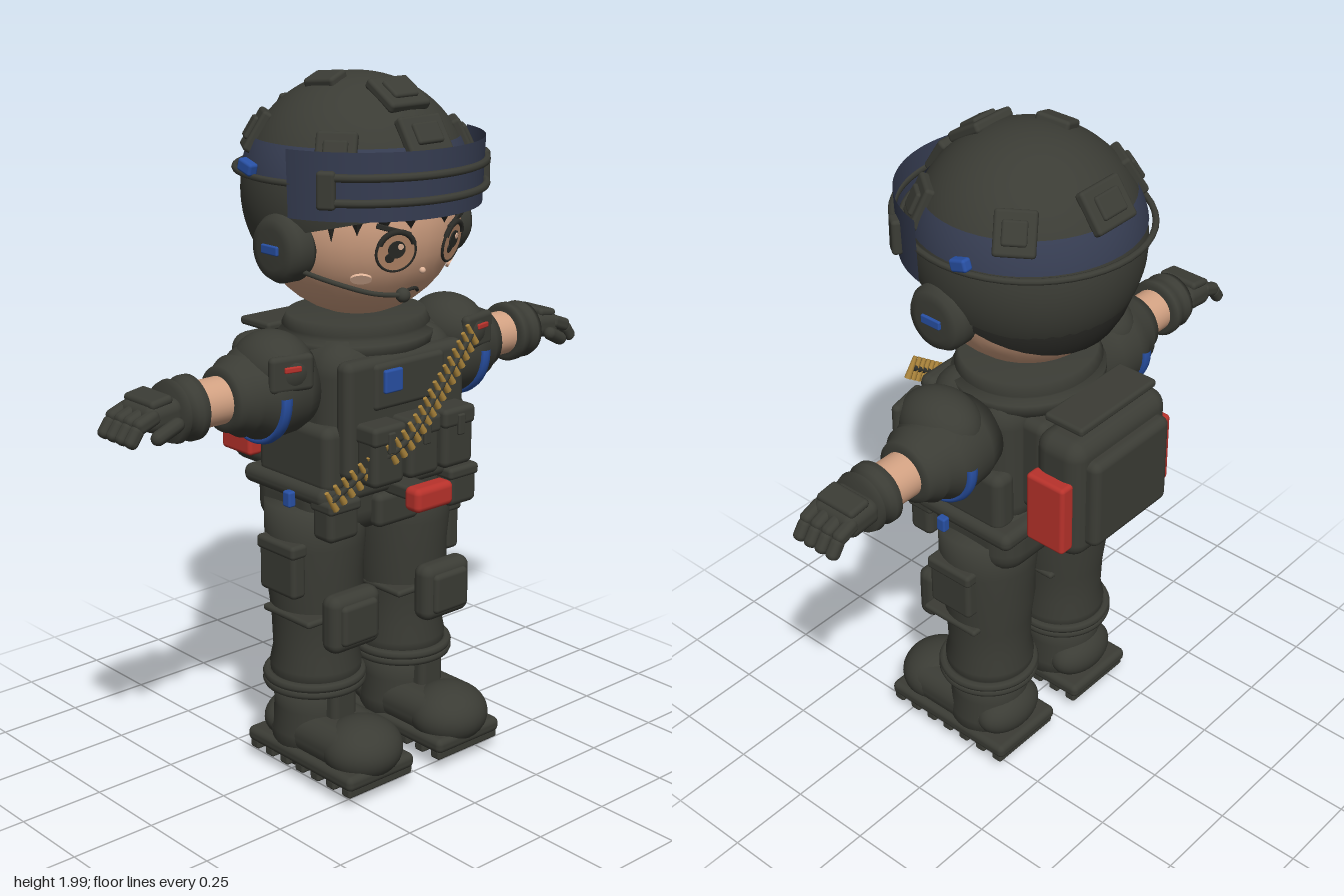
import * as THREE from 'three';
import { RoundedBoxGeometry } from 'three/addons/geometries/RoundedBoxGeometry.js';

const paint = (name, color, open) => {
  const m = new THREE.MeshStandardMaterial({ color });
  m.name = name;
  if (open) m.side = THREE.DoubleSide;
  return m;
};

export function createModel() {
  const gear = paint('dark olive gear', 0x3b3c35, true);
  const hair = paint('dark hair', 0x2b2b27, true);
  const skin = paint('skin', 0xd3a283);
  const eyeTan = paint('eye tan', 0xb98a6a);
  const blush = paint('pale cheek', 0xe0b498);
  const visorBlue = paint('visor blue', 0x363d52, true);
  const blue = paint('bright blue', 0x2850a4);
  const red = paint('red', 0xb8322b);
  const gold = paint('brass', 0xa8823a);

  const model = new THREE.Group();
  const add = (name, geo, mat, x = 0, y = 0, z = 0) => {
    const m = new THREE.Mesh(geo, mat);
    m.name = name;
    m.position.set(x, y, z);
    model.add(m);
    return m;
  };
  const box = (w, h, d, r = 0.02) => new RoundedBoxGeometry(w, h, d, 3, Math.min(r, w / 2.1, h / 2.1, d / 2.1));
  const ball = (r) => new THREE.SphereGeometry(r, 32, 20);
  const cyl = (a, b, h) => new THREE.CylinderGeometry(a, b, h, 24);
  const ring = (r, t, arc = Math.PI * 2) => new THREE.TorusGeometry(r, t, 8, 48, arc);
  const lathe = (pts) => new THREE.LatheGeometry(pts.map(([r, y]) => new THREE.Vector2(r, y)), 36);
  const tube = (pts, r) => new THREE.TubeGeometry(
    new THREE.CatmullRomCurve3(pts.map((p) => new THREE.Vector3(...p))), 32, r, 8);
  // turns a mesh's +z away from a centre, resting on a sphere
  const rest = (mesh, centre, dir, r, spin = 0) => {
    const d = dir.clone().normalize();
    mesh.position.copy(centre).addScaledVector(d, r);
    mesh.lookAt(mesh.position.clone().add(d));
    mesh.rotateZ(spin);
    return mesh;
  };

  // Head and face
  const headC = new THREE.Vector3(0, 1.61, 0.005), headR = 0.285;
  add('head', ball(headR), skin, 0, 1.61, 0.005);
  const onFace = (name, geo, mat, x, y, lift = 0.004, spin = 0) => {
    const dy = y - headC.y;
    return rest(add(name, geo, mat), headC,
      new THREE.Vector3(x, dy, Math.sqrt(headR * headR - x * x - dy * dy)), headR + lift, spin);
  };
  const disc = (r) => cyl(r, r, 0.008).rotateX(Math.PI / 2);
  for (const s of [-1, 1]) {
    onFace('eye', disc(0.055), eyeTan, s * 0.1, 1.55, 0.004);
    onFace('eyeOutline', ring(0.055, 0.004), hair, s * 0.1, 1.55, 0.006);
    onFace('upperLash', ring(0.05, 0.008, Math.PI * 0.8).rotateZ(Math.PI * 0.1), hair, s * 0.1, 1.555, 0.007);
    onFace('iris', disc(0.024), hair, s * 0.1, 1.557, 0.008);
    onFace('irisLower', disc(0.013), hair, s * 0.1 - 0.014, 1.535, 0.008);
    onFace('eyeGlint', disc(0.008), blush, s * 0.1 + 0.008, 1.565, 0.011);
    onFace('eyebrow', box(0.1, 0.014, 0.008, 0.003), hair, s * 0.11, 1.607, 0.006, s * 0.3);
    onFace('cheek', disc(0.022).scale(1.3, 0.7, 1), blush, s * 0.16, 1.475);
    for (const [x, h] of [[0.06, 0.05], [0.13, 0.05], [0.19, 0.07], [0.235, 0.1]])
      onFace('hairLock', new THREE.ConeGeometry(0.035, h, 4).rotateX(Math.PI), hair, s * x, 1.625, -0.005);
  }
  onFace('nose', ball(0.009), blush, 0, 1.485);
  onFace('mouth', ring(0.028, 0.005, Math.PI * 0.7).rotateZ(Math.PI * 0.15), hair, 0, 1.41, 0.002);
  add('hair', new THREE.SphereGeometry(0.294, 40, 20, 0, Math.PI * 2, 0, 1.75), hair, 0, 1.61, 0).rotation.x = -0.44;

  // Helmet, tilted so that it reaches lower at the back
  const helmC = new THREE.Vector3(0, 1.67, 0), helmR = 0.315;
  add('helmetShell', new THREE.SphereGeometry(helmR, 48, 28, 0, Math.PI * 2, 0, 1.885), gear, 0, 1.67, 0).rotation.x = -0.245;
  add('helmetBand', new THREE.SphereGeometry(0.319, 48, 6, 0, Math.PI * 2, 1.09, 0.28), visorBlue, 0, 1.67, 0);
  const strap = add('goggleStrap', ring(0.328, 0.009), gear, 0, 1.73, 0.002);
  strap.rotation.x = Math.PI / 2;
  strap.scale.y = 1.02;
  // pads: x and z on the dome, width, height, spin
  const pads = [[0, 0.165, 0.14, 0.12, 0], [0, 0.265, 0.15, 0.11, 0], [0, -0.255, 0.15, 0.12, 0], [-0.1, -0.01, 0.1, 0.07, 0.3]];
  for (const s of [-1, 1]) pads.push([s * 0.225, 0.175, 0.11, 0.12, 0], [s * 0.225, -0.15, 0.11, 0.12, 0]);
  pads.forEach(([x, z, w, h, spin], i) => {
    const dir = new THREE.Vector3(x, Math.sqrt(helmR * helmR - x * x - z * z), z);
    rest(add('helmetPad', box(w, h, 0.03, 0.01), gear), helmC, dir, helmR, spin);
    if (i !== 3) rest(add('helmetPadInset', box(w * 0.6, h * 0.55, 0.03, 0.008), gear), helmC, dir, helmR + 0.01, spin);
  });

  // Visor wrapped round the front
  const arc = 2.7;
  add('visor', new THREE.CylinderGeometry(0.335, 0.328, 0.18, 48, 1, true, -arc / 2, arc), visorBlue, 0, 1.73, 0.022);
  for (const y of [1.69, 1.755])
    add('visorRail', ring(0.341, 0.011, 2.1).rotateZ(Math.PI / 2 - 1.05).rotateX(Math.PI / 2), gear, 0, y, 0.018);

  // Headset
  for (const s of [-1, 1]) {
    add('visorBuckle', box(0.05, 0.1, 0.03, 0.01), gear, s * 0.285, 1.722, 0.205).rotation.y = s * 0.95;
    add('earCup', lathe([[0, -0.045], [0.085, -0.045], [0.093, -0.03], [0.093, 0.015], [0.08, 0.035], [0.055, 0.04], [0, 0.04]]),
      gear, s * 0.295, 1.55, 0.04).rotation.z = -s * Math.PI / 2;
    add('earCupLight', box(0.012, 0.025, 0.065, 0.004), blue, s * 0.337, 1.55, 0.04);
    add('strapClip', box(0.03, 0.035, 0.055, 0.008), blue, s * 0.328, 1.755, -0.06).rotation.x = 0.3;
  }
  add('microphoneBoom', tube([[-0.29, 1.5, 0.08], [-0.25, 1.475, 0.19], [-0.17, 1.445, 0.255], [-0.08, 1.43, 0.28]], 0.007), gear);
  add('microphone', ball(0.02), gear, -0.08, 1.43, 0.275);

  // Torso and vest
  add('torso', box(0.48, 0.44, 0.32, 0.09), gear, 0, 1.07, 0.03);
  add('collar', lathe([[0, 1.22], [0.2, 1.22], [0.225, 1.25], [0.225, 1.275], [0.2, 1.285], [0.215, 1.3], [0.2, 1.33], [0, 1.33]]),
    gear).scale.z = 0.92;
  add('chestPlate', box(0.44, 0.33, 0.06, 0.025), gear, 0, 1.085, 0.185);
  add('chestPanel', box(0.26, 0.13, 0.03), gear, 0, 1.17, 0.21);
  add('chestPatch', box(0.065, 0.065, 0.02, 0.006), blue, -0.07, 1.185, 0.226);
  for (const x of [-0.13, 0, 0.13]) {
    add('magazinePouch', box(0.115, 0.16, 0.08), gear, x, 0.99, 0.245);
    add('pouchFlap', box(0.12, 0.055, 0.088, 0.014), gear, x, 1.055, 0.245);
    add('pouchTab', box(0.025, 0.06, 0.012, 0.005), gear, x, 1.035, 0.29);
  }

  // Bandolier running from the left shoulder to the right hip
  const sash = new THREE.CatmullRomCurve3([[0.22, 1.265, 0.235], [0.05, 1.135, 0.275], [-0.09, 1.03, 0.298],
    [-0.18, 0.965, 0.255], [-0.28, 0.885, 0.215]].map((p) => new THREE.Vector3(...p)));
  add('bandolierStrap', new THREE.TubeGeometry(sash, 40, 0.009, 6), gear);
  for (let i = 0; i < 23; i++) {
    const p = sash.getPointAt(i / 22);
    const c = add('cartridge', new THREE.CylinderGeometry(0.006, 0.01, 0.065, 10), gold, p.x, p.y, p.z);
    c.rotation.z = 0.55;
  }

  // Backpack
  add('backpack', box(0.4, 0.38, 0.16, 0.05), gear, 0, 1.045, -0.26);
  add('backpackPocket', box(0.32, 0.28, 0.06, 0.025), gear, 0, 1.04, -0.345);
  add('backpackLid', box(0.32, 0.025, 0.13, 0.01), gear, 0, 1.265, -0.255);
  add('packMount', box(0.34, 0.3, 0.1, 0.03), gear, 0, 1.08, -0.15);

  // Hips and belt
  add('hips', box(0.54, 0.2, 0.31, 0.08), gear, 0, 0.82, 0.0);
  add('belt', box(0.57, 0.055, 0.35, 0.025), gear, 0, 0.875, 0.01);
  add('beltFlap', box(0.16, 0.1, 0.05), gear, 0, 0.795, 0.16);
  add('beltPouch', box(0.14, 0.07, 0.06, 0.018), red, 0, 0.86, 0.3);
  add('beltPouchMount', box(0.08, 0.04, 0.15, 0.01), gear, 0, 0.86, 0.22);

  for (const s of [-1, 1]) {
    add('backpackSidePouch', box(0.05, 0.22, 0.13, 0.012), red, s * 0.21, 1.01, -0.255);
    add('sidePouch', box(0.08, 0.19, 0.3, 0.03), gear, s * 0.225, 0.975, 0.03);
    add('hipPouch', box(0.11, 0.11, 0.08), gear, s * 0.225, 0.81, 0.17);
    add('hipPouchFlap', box(0.115, 0.035, 0.09, 0.012), gear, s * 0.225, 0.855, 0.17);
    add('hipClip', box(0.025, 0.045, 0.03, 0.006), blue, s * 0.298, 0.857, 0.06);

    // Arm, held straight out
    const alongArm = (name, pts, mat) => {
      const m = add(name, lathe(pts), mat, 0, 1.165, 0.01);
      m.rotation.z = -s * Math.PI / 2;
      return m;
    };
    alongArm('sleeve', [[0, 0.2], [0.11, 0.22], [0.13, 0.28], [0.135, 0.35], [0.128, 0.39], [0.108, 0.42], [0.112, 0.44],
      [0.095, 0.465], [0.09, 0.485], [0.07, 0.492], [0, 0.492]], gear);
    alongArm('forearm', [[0.065, 0.46], [0.064, 0.62]], skin);
    alongArm('gloveCuff', [[0, 0.575], [0.075, 0.575], [0.088, 0.585], [0.088, 0.605], [0.076, 0.615], [0.076, 0.635],
      [0.086, 0.645], [0.08, 0.665], [0, 0.67]], gear);
    add('shoulderPad', ball(1), gear, s * 0.325, 1.235, 0.03).scale.set(0.1, 0.095, 0.125);
    add('shoulderPlate', box(0.13, 0.1, 0.03, 0.015), gear, s * 0.345, 1.235, 0.13).rotation.y = s * 0.2;
    add('shoulderPatch', box(0.05, 0.016, 0.01, 0.004), red, s * 0.352, 1.25, 0.148).rotation.y = s * 0.2;
    const band = add('armBand', ring(0.133, 0.012, Math.PI * 1.05).rotateZ(Math.PI * 0.98).rotateY(Math.PI / 2), blue, s * 0.37, 1.165, 0.01);
    band.scale.x = 1.5;

    // Hand with drooping fingers
    add('palm', box(0.12, 0.075, 0.15, 0.03), gear, s * 0.705, 1.175, 0.005).rotation.z = -s * 0.1;
    add('knucklePad', box(0.07, 0.025, 0.13, 0.012), gear, s * 0.715, 1.213, 0.005).rotation.z = -s * 0.15;
    for (let i = 0; i < 4; i++) {
      const z = -0.052 + i * 0.039;
      add('fingerBase', box(0.075, 0.04, 0.037, 0.015), gear, s * 0.765, 1.173, z).rotation.z = -s * 0.35;
      add('fingerTip', box(0.06, 0.036, 0.035, 0.015), gear, s * 0.805, 1.14, z).rotation.z = -s * 0.95;
    }
    const thumb = add('thumb', new THREE.CapsuleGeometry(0.02, 0.06, 4, 10), gear, s * 0.72, 1.145, 0.093);
    thumb.rotation.set(0.3, 0, s * 1.1);

    // Leg
    const lx = s * 0.165;
    add('trouserLeg', lathe([[0, 0.27], [0.128, 0.27], [0.132, 0.33], [0.122, 0.38], [0.126, 0.48], [0.136, 0.56], [0.136, 0.63],
      [0.143, 0.7], [0.142, 0.82], [0, 0.84]]), gear, lx, 0, 0.012);
    for (const y of [0.275, 0.295])
      add('trouserCuff', ring(0.135, 0.014).rotateX(Math.PI / 2), gear, lx + s * 0.005, y, 0.012);
    add('kneePad', box(0.18, 0.17, 0.07, 0.03), gear, s * 0.175, 0.505, 0.175);
    add('kneePadFace', box(0.13, 0.12, 0.03, 0.02), gear, s * 0.175, 0.505, 0.208);
    add('kneeStrap', box(0.27, 0.02, 0.2, 0.01), gear, s * 0.17, 0.505, 0.045);
    add('thighPocket', box(0.05, 0.15, 0.15, 0.015), gear, s * 0.295, 0.645, 0.025);
    add('thighPocketFlap', box(0.058, 0.04, 0.16, 0.012), gear, s * 0.297, 0.71, 0.025);

    // Boot
    add('bootShaft', lathe([[0, 0.05], [0.12, 0.06], [0.125, 0.13], [0.115, 0.2], [0.12, 0.28], [0, 0.28]]), gear, s * 0.17, 0, 0.01);
    add('bootFoot', box(0.23, 0.13, 0.36, 0.06), gear, s * 0.17, 0.13, 0.09);
    add('toeCap', ball(1), gear, s * 0.17, 0.125, 0.215).scale.set(0.12, 0.088, 0.115);
    add('heelCap', ball(1), gear, s * 0.17, 0.14, -0.06).scale.set(0.115, 0.075, 0.075);
    add('bootTongue', box(0.09, 0.13, 0.06, 0.02), gear, s * 0.17, 0.215, 0.12);
    add('bootSole', box(0.25, 0.045, 0.455, 0.018), gear, s * 0.172, 0.075, 0.08);
    for (let i = 0; i < 7; i++)
      add('soleTread', box(0.24, 0.03, 0.036, 0.008), gear, s * 0.172, 0.048, -0.12 + i * 0.067);
    add('soleDome', ball(1), gear, s * 0.17, 0.055, 0.012).scale.set(0.11, 0.055, 0.11);
  }
  return model;
}
